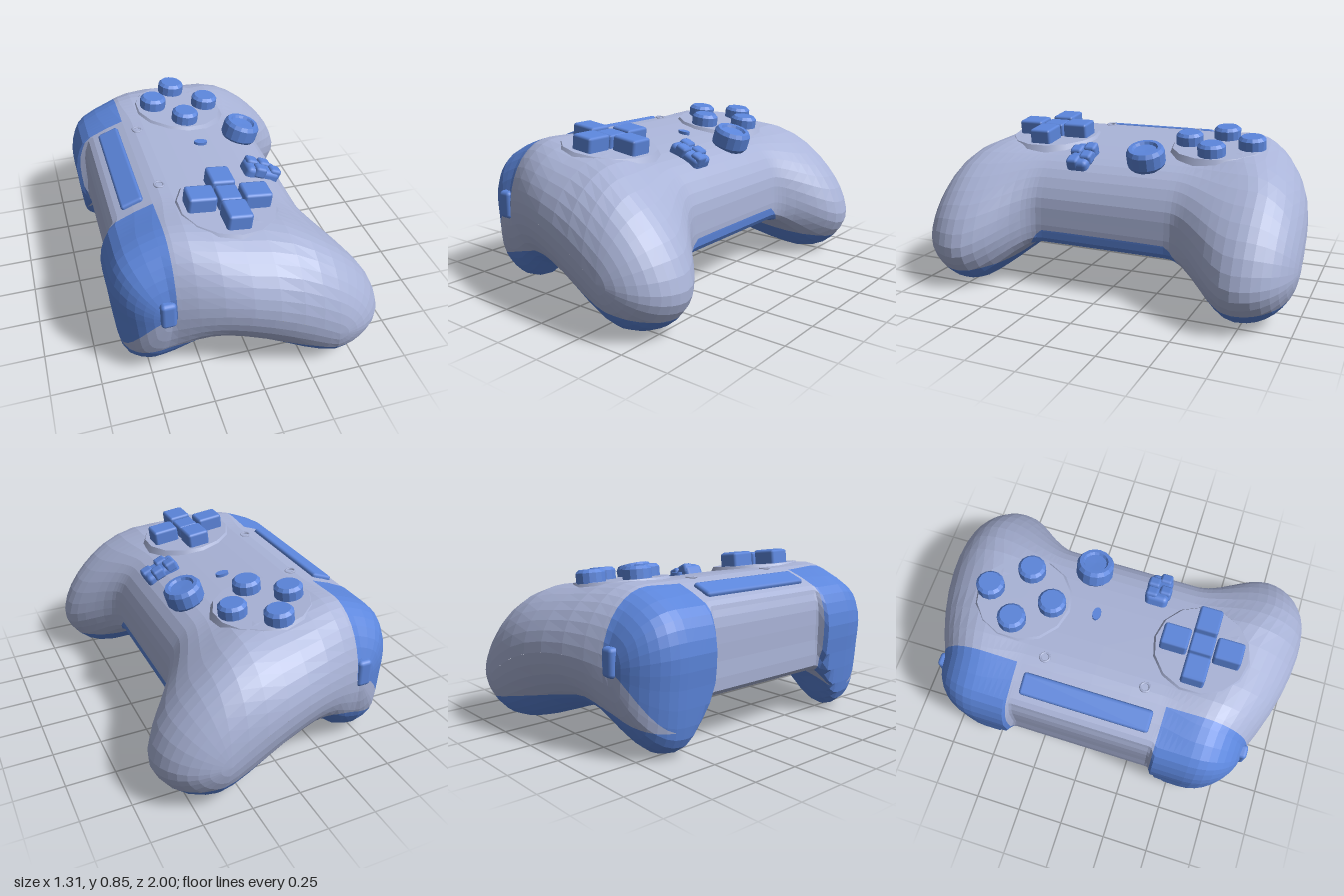
import * as THREE from 'three';
import { RoundedBoxGeometry } from 'three/addons/geometries/RoundedBoxGeometry.js';

const grey = new THREE.MeshStandardMaterial({ color: 0xaab4d8 });
grey.name = 'shellGrey';
const blue = new THREE.MeshStandardMaterial({ color: 0x5c86dc });
blue.name = 'controlBlue';

// Matched outlines: [x, y] of the middle section, then [x, y] of the grip section
const PROFILE = [
  [-0.55, 0.70, -0.57, 0.69], [-0.38, 0.765, -0.42, 0.76], [-0.28, 0.775, -0.29, 0.785],
  [-0.05, 0.745, -0.05, 0.758], [0.15, 0.71, 0.18, 0.73], [0.27, 0.67, 0.36, 0.64],
  [0.35, 0.60, 0.50, 0.52], [0.40, 0.50, 0.60, 0.39], [0.41, 0.40, 0.653, 0.25],
  [0.41, 0.32, 0.63, 0.15], [0.39, 0.26, 0.54, 0.055], [0.28, 0.25, 0.40, 0.01],
  [0.14, 0.25, 0.24, 0.04], [0.0, 0.25, 0.04, 0.115], [-0.15, 0.25, -0.15, 0.17],
  [-0.28, 0.25, -0.28, 0.13], [-0.38, 0.25, -0.38, 0.04], [-0.47, 0.25, -0.50, 0.005],
  [-0.55, 0.25, -0.60, 0.06], [-0.60, 0.28, -0.63, 0.16], [-0.60, 0.42, -0.645, 0.34],
  [-0.60, 0.58, -0.656, 0.49], [-0.58, 0.66, -0.63, 0.61],
];

const smooth = (a, b, v) => {
  const t = Math.min(1, Math.max(0, (v - a) / (b - a)));
  return t * t * (3 - 2 * t);
};

// Smooth closed outline from two columns of the table
function outline(column) {
  const points = PROFILE.map((p) => new THREE.Vector3(p[column], p[column + 1], 0));
  return new THREE.CatmullRomCurve3(points, true, 'catmullrom', 0.5).getPoints(points.length * 2).slice(0, -1);
}

// Arched centre line of the grip's side, and how far out the side bulges along it
const spine = (x) => 0.47 - 0.7 * (x + 0.15) ** 2;
const bulge = (x) => 1 - 0.295 * (0.36 - x) ** 2;
// Depth at which the outline starts to round off into the side
const shoulder = (x) => 0.57 + 0.05 * smooth(-0.5, -0.1, x) + 0.12 * smooth(0, 0.4, x);

// Rings of one half of the body, from the middle outwards
function halfRings() {
  const middle = outline(0), grip = outline(2);
  const rings = [middle.map((p) => [p.x, p.y, 0]), middle.map((p) => [p.x, p.y, 0.2])];
  for (const u of [0, 0.08, 0.14, 0.2, 0.26, 0.38, 0.5, 0.62, 0.74, 0.87]) {
    rings.push(grip.map((g, i) => {
      const c = middle[i], edge = shoulder(g.x), z = 0.34 + (edge - 0.34) * u;
      const k = g.x < -0.55
        ? smooth(0.365, 0.4 + 0.16 * (1 - smooth(0, 0.35, g.y)), z)
        : smooth(0.35, edge, z);
      return [c.x + (g.x - c.x) * k, c.y + (g.y - c.y) * k, z];
    }));
  }
  const steps = 9;
  for (let n = 0; n <= steps; n++) {
    const a = (n / steps) * Math.PI / 2, s = Math.cos(a);
    rings.push(grip.map((g) => {
      const mx = Math.min(0.36, Math.max(-0.4, g.x)), my = spine(mx), edge = shoulder(g.x);
      return [mx + (g.x - mx) * s, my + (g.y - my) * s, edge + (bulge(mx) - edge) * Math.sin(a)];
    }));
  }
  return rings;
}

function bodyTriangles() {
  const half = halfRings();
  const rings = [...half.slice(1).reverse().map((r) => r.map(([x, y, z]) => [x, y, -z])), ...half];
  const n = rings[0].length, tris = [];
  for (let k = 0; k + 1 < rings.length; k++) {
    for (let i = 0; i < n; i++) {
      const j = (i + 1) % n;
      const a = rings[k][i], b = rings[k][j], c = rings[k + 1][j], d = rings[k + 1][i];
      tris.push([a, d, c], [a, c, b]);
    }
  }
  return tris;
}

// Cuts triangles along field = 0 and returns [positive side, negative side]
function split(tris, field) {
  return [1, -1].map((sign) => {
    const out = [];
    for (const tri of tris) {
      const v = tri.map((p) => sign * field(...p));
      const poly = [];
      for (let i = 0; i < 3; i++) {
        const j = (i + 1) % 3;
        if (v[i] >= 0) poly.push(tri[i]);
        if ((v[i] > 0 && v[j] < 0) || (v[i] < 0 && v[j] > 0)) {
          const t = v[i] / (v[i] - v[j]);
          poly.push(tri[i].map((c, m) => c + (tri[j][m] - c) * t));
        }
      }
      for (let i = 1; i + 1 < poly.length; i++) out.push([poly[0], poly[i], poly[i + 1]]);
    }
    return out;
  });
}

function add(parent, name, geo, mat, x = 0, y = 0, z = 0, tilt = 0) {
  const m = new THREE.Mesh(geo, mat);
  m.name = name;
  m.position.set(x, y, z);
  m.rotation.z = tilt;
  parent.add(m);
  return m;
}

function addShell(parent, name, tris, mat) {
  const g = new THREE.BufferGeometry();
  g.setAttribute('position', new THREE.Float32BufferAttribute(tris.flat(2), 3));
  g.computeVertexNormals();
  add(parent, name, g, mat);
}

// Faceted turned part from [radius, height] points
function turned(profile, sides) {
  const g = new THREE.LatheGeometry(profile.map((p) => new THREE.Vector2(...p)), sides).toNonIndexed();
  g.computeVertexNormals();
  return g;
}

export function createModel() {
  const model = new THREE.Group();
  model.name = 'gameController';

  // Lower shell, upper shell and triggers cut from one body
  const seam = (x, y, z) => {
    const outer = x > -0.2 ? 0.27 - 0.2 * (x + 0.2) : 0.27 + 0.3 * (x + 0.2);
    const middle = 0.255 + 0.075 * smooth(-0.1, 0.3, x);
    return y - middle - (outer - middle) * smooth(0.33, 0.5, Math.abs(z));
  };
  const [upper, lower] = split(bodyTriangles(), seam);
  let trigger = upper;
  const rest = [];
  for (const field of [
    (x) => -0.38 - x,
    (x, y, z) => Math.abs(z) - 0.386,
    (x, y) => y - 0.44 + 5 * (x + 0.38) ** 2,
  ]) {
    const [inside, outside] = split(trigger, field);
    trigger = inside;
    rest.push(...outside);
  }
  addShell(model, 'upperShell', rest, grey);
  addShell(model, 'lowerShell', lower, blue);
  addShell(model, 'triggers', trigger, blue);

  // Back bar and side buttons
  add(model, 'backBar', new RoundedBoxGeometry(0.115, 0.06, 0.67, 1, 0.015), blue, -0.465, 0.725, 0, 0.36);
  for (const s of [-1, 1]) {
    add(model, 'sideButton', new RoundedBoxGeometry(0.075, 0.14, 0.08, 2, 0.02), blue, -0.42, 0.465, s * 0.806);
  }

  // Controls on the sloping face
  const face = new THREE.Group();
  face.name = 'faceControls';
  face.position.set(-0.04, 0.757, 0);
  face.rotation.z = -0.12;
  model.add(face);
  for (const s of [-1, 1]) {
    add(face, 'facePlate', new THREE.CylinderGeometry(0.24, 0.27, 0.05, 14), grey, 0, -0.022, s * 0.475);
    const ring = add(face, 'smallRing', new THREE.TorusGeometry(0.024, 0.006, 6, 14), grey, -0.28, -0.014, s * 0.26);
    ring.rotation.x = Math.PI / 2;
  }
  const button = turned([[0, 0], [0.072, 0], [0.072, 0.05], [0.057, 0.065], [0, 0.065]], 14);
  for (const [x, z] of [[0, -0.17], [0, 0.165], [-0.145, 0], [0.157, 0]]) {
    add(face, 'roundButton', button, blue, x, 0, z - 0.485);
  }

  // Direction pad: four arms around a lower centre
  add(face, 'padCentre', new RoundedBoxGeometry(0.11, 0.09, 0.12, 1, 0.012), blue, 0, 0.025, 0.47);
  for (const s of [-1, 1]) {
    add(face, 'padArm', new RoundedBoxGeometry(0.14, 0.1, 0.12, 1, 0.014), blue, s * 0.137, 0.028, 0.47);
    add(face, 'padArm', new RoundedBoxGeometry(0.12, 0.1, 0.14, 1, 0.014), blue, 0, 0.028, 0.47 + s * 0.137);
  }
  const centre = add(face, 'centreButton', new THREE.CylinderGeometry(0.036, 0.036, 0.03, 12), blue, 0.03, -0.014, -0.09);
  centre.scale.z = 0.6;

  // Thumb stick with a dished cap
  const cap = turned([[0.05, 0], [0.085, 0.02], [0.098, 0.04], [0.098, 0.105], [0.085, 0.125], [0.066, 0.125], [0.058, 0.112], [0, 0.11]], 16);
  add(model, 'thumbStick', cap, blue, 0.22, 0.66, -0.18, -0.3);

  // Small segmented stick
  const nub = new THREE.Group();
  nub.name = 'smallStick';
  nub.position.set(0.225, 0.69, 0.178);
  nub.rotation.z = -0.42;
  model.add(nub);
  add(nub, 'nubBase', new RoundedBoxGeometry(0.19, 0.08, 0.12, 2, 0.025), blue, 0.005, 0, 0);
  for (const [x, z] of [[-0.05, -0.03], [0.025, -0.035], [-0.02, 0.035], [0.07, 0.02]]) {
    add(nub, 'nubSegment', new RoundedBoxGeometry(0.065, 0.06, 0.065, 1, 0.015), blue, x, 0.024, z);
  }
  return model;
}
